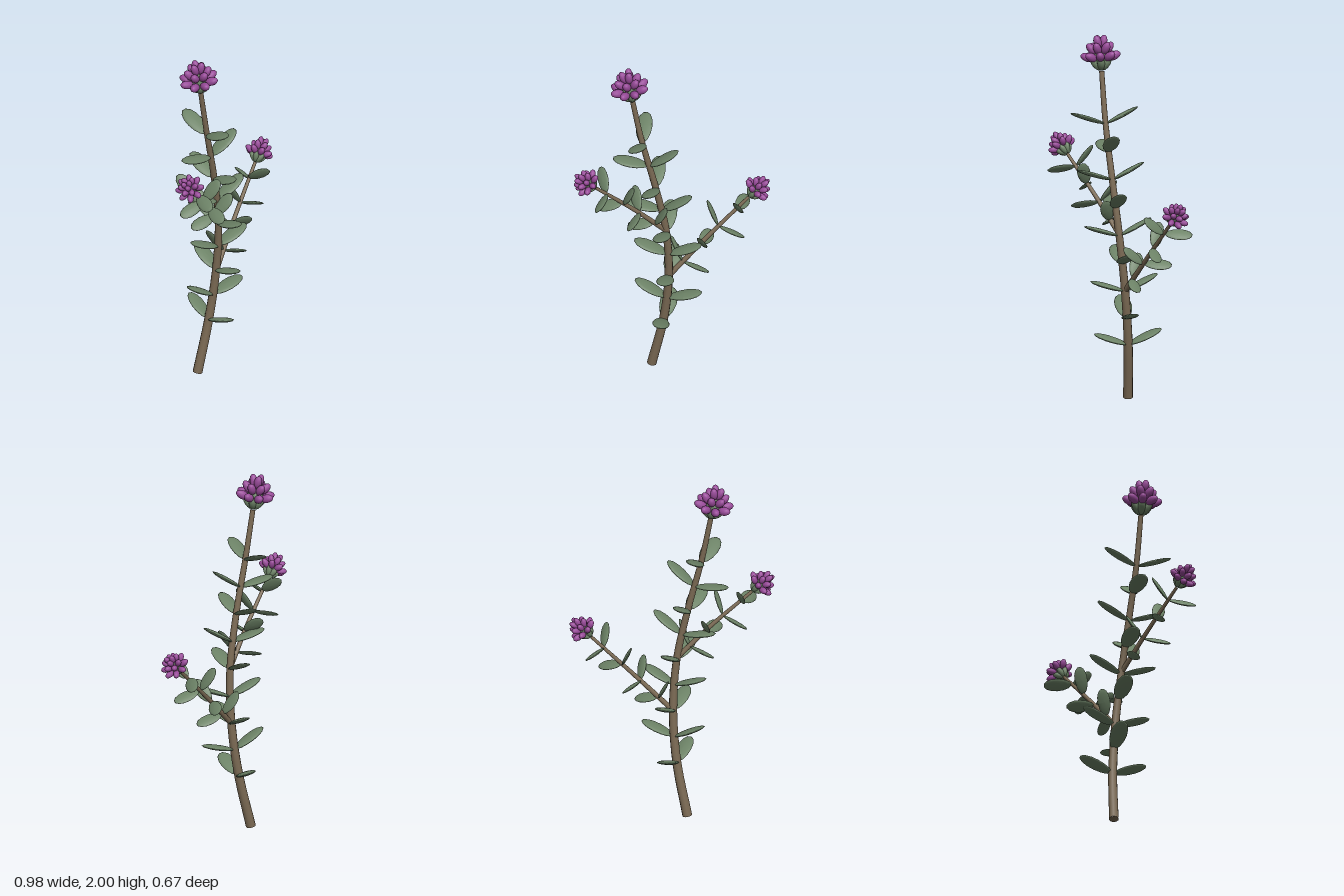
import * as THREE from 'three';

const V = (x, y, z) => new THREE.Vector3(x, y, z);

export function createModel() {
  const root = new THREE.Group();
  root.name = 'floweringSprig';

  const mat = (name, color) => Object.assign(new THREE.MeshStandardMaterial({ color }), { name });
  const bark = mat('bark brown', 0x7b6a54);
  const green = mat('leaf green', 0x6d8367);
  const purple = mat('petal purple', 0x994b9a);

  // Leaf blade: flattened ellipsoid along y, slightly wider toward the tip
  const leafGeo = new THREE.SphereGeometry(1, 14, 8).rotateX(Math.PI / 2);
  const lp = leafGeo.attributes.position;
  for (let i = 0; i < lp.count; i++) lp.setX(i, lp.getX(i) * (0.97 + 0.1 * lp.getY(i)));
  leafGeo.computeVertexNormals();
  const budGeo = new THREE.SphereGeometry(1, 10, 8);

  function add(parent, name, geo, material) {
    const m = new THREE.Mesh(geo, material);
    m.name = name;
    parent.add(m);
    return m;
  }

  // Tapered stem along a curve, closed at the lower end
  function stem(name, curve, r0, r1) {
    const rows = 24, sides = 10;
    const geo = new THREE.TubeGeometry(curve, rows, 1, sides, false);
    const p = geo.attributes.position, v = V(0, 0, 0);
    for (let i = 0; i < p.count; i++) {
      const t = Math.floor(i / (sides + 1)) / rows, c = curve.getPointAt(t);
      v.fromBufferAttribute(p, i).sub(c).multiplyScalar(r0 + (r1 - r0) * t).add(c);
      p.setXYZ(i, v.x, v.y, v.z);
    }
    add(root, name, geo, bark);
    const cap = add(root, name + 'End', new THREE.CircleGeometry(r0, sides), bark);
    cap.position.copy(curve.getPointAt(0));
    cap.quaternion.setFromUnitVectors(V(0, 0, 1), curve.getTangentAt(0).negate());
  }

  // Opposite pair of leaves, turned about the stem by an angle
  function leafPair(curve, t, turn, len, width) {
    const p = curve.getPointAt(t), d = curve.getTangentAt(t);
    const out = V(0, 0, 1).addScaledVector(d, -d.z).normalize().applyAxisAngle(d, turn);
    for (const s of [1, -1]) {
      const y = out.clone().multiplyScalar(s * 0.927).addScaledVector(d, 0.375).normalize();
      const x = V(0, 0, 0).crossVectors(d, y).normalize();
      const z = V(0, 0, 0).crossVectors(x, y);
      const leaf = add(root, 'leaf', leafGeo, green);
      leaf.quaternion.setFromRotationMatrix(new THREE.Matrix4().makeBasis(x, y, z));
      leaf.position.copy(p).addScaledVector(y, len / 2 + 0.004);
      leaf.scale.set(width / 2, len / 2, width * 0.13);
    }
  }

  // Ring of ellipsoids leaning outward from the flower axis
  function ring(head, name, material, n, r, h, lift, size, turn) {
    for (let i = 0; i < n; i++) {
      const a = turn + (i / n) * Math.PI * 2;
      const m = add(head, name, budGeo, material);
      m.position.set(r * Math.cos(a), h, r * Math.sin(a));
      const dir = V(Math.cos(a) * Math.cos(lift), Math.sin(lift), Math.sin(a) * Math.cos(lift));
      m.quaternion.setFromUnitVectors(V(0, 1, 0), dir);
      m.scale.set(...size);
    }
  }

  function flower(pos, axis, scale, turn) {
    const head = new THREE.Group();
    head.name = 'flowerHead';
    const core = add(head, 'flowerCore', budGeo, green);
    core.position.y = 0.07;
    core.scale.set(0.045, 0.055, 0.045);
    ring(head, 'sepal', green, 6, 0.031, 0.038, 0.85, [0.022, 0.044, 0.022], turn);
    ring(head, 'outerPetal', purple, 8, 0.071, 0.078, 0.38, [0.024, 0.04, 0.024], turn);
    ring(head, 'middlePetal', purple, 6, 0.047, 0.122, 0.9, [0.023, 0.038, 0.023], turn + 0.3);
    ring(head, 'innerPetal', purple, 3, 0.02, 0.158, 1.3, [0.022, 0.038, 0.022], turn + 0.6);
    head.position.copy(pos);
    head.quaternion.setFromUnitVectors(V(0, 1, 0), axis);
    head.scale.setScalar(scale);
    root.add(head);
  }

  // Main stem with nine leaf pairs, each a quarter turn from the last
  const main = new THREE.CatmullRomCurve3([
    V(-0.127, 0.007, -0.065), V(-0.058, 0.32, -0.053), V(-0.026, 0.62, -0.03), V(-0.034, 0.92, 0.0),
    V(-0.088, 1.23, 0.03), V(-0.157, 1.53, 0.054), V(-0.208, 1.803, 0.065),
  ]);
  stem('mainStem', main, 0.027, 0.014);
  for (let i = 0; i < 9; i++) leafPair(main, 0.172 + i * 0.0838, (i % 2) * Math.PI / 2, 0.198, 0.096);
  flower(main.getPointAt(1), main.getTangentAt(1), 1, 0.2);

  // Two side branches, each with four leaf pairs and a smaller flower
  const branches = [
    ['leftBranch', V(-0.022, 0.62, -0.03), V(0.167, 0.835, -0.115), V(0.382, 1.068, -0.207)],
    ['rightBranch', V(-0.035, 0.93, 0.0), V(-0.19, 1.112, 0.1), V(-0.384, 1.313, 0.22)],
  ];
  branches.forEach(([name, a, b, c], k) => {
    const curve = new THREE.CatmullRomCurve3([a, b, c]);
    stem(name, curve, 0.015, 0.009);
    for (let i = 0; i < 4; i++) {
      leafPair(curve, 0.17 + i * 0.225, ((i + 1) % 2) * Math.PI / 2 - 0.22, 0.152, 0.078);
    }
    flower(c, curve.getTangentAt(1), 0.74, 0.5 + k);
  });

  return root;
}
